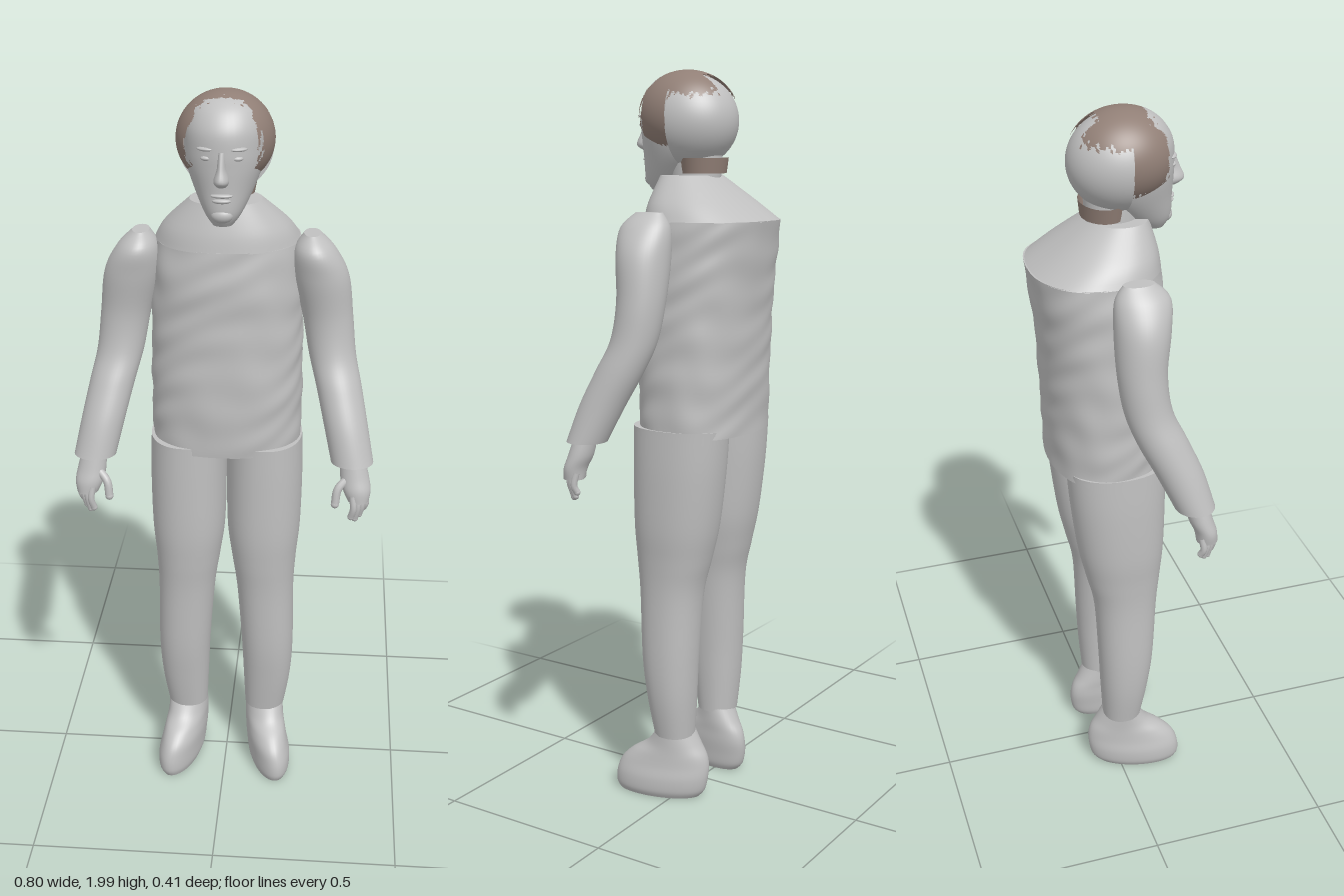
import * as THREE from 'three';

const grey = new THREE.MeshStandardMaterial({ color: 0xc0c0c0 });
grey.name = 'plain grey';
const brown = new THREE.MeshStandardMaterial({ color: 0x917f76, side: THREE.DoubleSide });
brown.name = 'hair brown';

function add(parent, name, geometry, material = grey) {
  const mesh = new THREE.Mesh(geometry, material);
  mesh.name = name;
  parent.add(mesh);
  return mesh;
}

// Catmull-Rom subdivision of section rows
function refine(rows, steps) {
  const out = [], last = rows.length - 1;
  for (let i = 0; i < last; i++) {
    const a = rows[Math.max(i - 1, 0)], b = rows[i], c = rows[i + 1], d = rows[Math.min(i + 2, last)];
    for (let k = 0; k < steps; k++) {
      const t = k / steps;
      out.push(b.map((_, j) => b[j] + 0.5 * t * (c[j] - a[j]
        + t * (2 * a[j] - 5 * b[j] + 4 * c[j] - d[j] + t * (3 * (b[j] - c[j]) + d[j] - a[j])))));
    }
  }
  out.push(rows[last]);
  return out;
}

// Closed loft through sections [y, centre x, half width, back z, front z], listed upward
function loft(rows, { steps = 6, sides = 40, power = 2, side = 1, shear = 0, wrinkle = 0, caps = true } = {}) {
  const rings = refine(rows, steps), pos = [], index = [];
  const pw = (v) => Math.sign(v) * Math.pow(Math.abs(v), 2 / power);
  rings.forEach(([y, cx, rx, zb, zf]) => {
    for (let i = 0; i < sides; i++) {
      const a = (i / sides) * Math.PI * 2;
      const w = 1 + wrinkle * Math.sin(y * 55 + 2 * Math.sin(a * 3 + y * 9)) * Math.sin(a * 4 + y * 17);
      const dz = pw(Math.sin(a)) * (zf - zb) / 2 * w;
      pos.push(side * (cx + shear * dz) + pw(Math.cos(a)) * rx * w, y, (zf + zb) / 2 + dz);
    }
  });
  const n = rings.length;
  for (let r = 0; r < n - 1; r++) for (let i = 0; i < sides; i++) {
    const p = r * sides + i, q = r * sides + (i + 1) % sides;
    index.push(p, p + sides, q, q, p + sides, q + sides);
  }
  // Caps have their own vertices so their rims stay sharp
  if (caps) [0, n - 1].forEach((r) => {
    const [y, cx, , zb, zf] = rings[r], start = pos.length / 3;
    pos.push(...pos.slice(r * sides * 3, (r + 1) * sides * 3), side * cx, y, (zb + zf) / 2);
    for (let i = 0; i < sides; i++) {
      const p = start + i, q = start + (i + 1) % sides;
      index.push(start + sides, ...(r ? [q, p] : [p, q]));
    }
  });
  const g = new THREE.BufferGeometry();
  g.setAttribute('position', new THREE.Float32BufferAttribute(pos, 3));
  g.setIndex(index);
  g.computeVertexNormals();
  return g;
}

function ellipsoid(parent, name, [x, y, z], [rx, ry, rz]) {
  const mesh = add(parent, name, new THREE.SphereGeometry(1, 20, 14));
  mesh.position.set(x, y, z);
  mesh.scale.set(rx, ry, rz);
  return mesh;
}

// Tapered-looking finger: a tube with a round tip
function finger(parent, name, points, r) {
  const pts = points.map((p) => new THREE.Vector3(...p));
  add(parent, name, new THREE.TubeGeometry(new THREE.CatmullRomCurve3(pts), 10, r, 10));
  ellipsoid(parent, name + 'Tip', points[points.length - 1], [r, r, r]);
}

// Hair: the part of a dome that lies inside a ragged hairline
function hairGeometry() {
  const g = new THREE.SphereGeometry(1, 128, 90);
  g.scale(0.123, 0.117, 0.138).translate(0, 1.885, 0.04);
  const p = g.attributes.position, old = g.index.array, keep = [];
  for (let i = 0; i < old.length; i += 3) {
    const mid = (f) => (p[f](old[i]) + p[f](old[i + 1]) + p[f](old[i + 2])) / 3;
    const x = mid('getX'), y = mid('getY'), z = mid('getZ'), ax = Math.abs(x);
    const jag = 0.006 * Math.sin(x * 310) + 0.006 * Math.sin(z * 420 + y * 130);
    const temples = ax > 0.07 && z > 0.033 && z < 0.128 + jag && y > 1.805 + jag;
    const crown = y > 1.935 + jag && z < 0.1 + jag && z > (ax > 0.03 ? -0.07 : -0.03) + jag;
    if (temples || crown) keep.push(old[i], old[i + 1], old[i + 2]);
  }
  g.setIndex(keep);
  return g;
}

function buildHead() {
  const head = new THREE.Group();
  head.name = 'head';
  add(head, 'face', loft([
    [1.69, 0, 0.025, 0.1, 0.15], [1.72, 0, 0.048, 0.05, 0.167], [1.78, 0, 0.078, -0.02, 0.168],
    [1.83, 0, 0.095, -0.04, 0.17], [1.87, 0, 0.1, -0.05, 0.171], [1.92, 0, 0.099, -0.05, 0.166],
    [1.96, 0, 0.084, -0.03, 0.143], [1.985, 0, 0.058, 0, 0.112], [1.997, 0, 0.015, 0.04, 0.08],
  ]));
  add(head, 'neck', loft([[1.66, 0, 0.06, -0.05, 0.085], [1.8, 0, 0.06, -0.06, 0.08]], { steps: 2 }));
  // Rear half of the skull with a flat front rim
  const skull = add(head, 'skull', new THREE.SphereGeometry(1, 40, 32, Math.PI, Math.PI));
  skull.position.set(0, 1.87, 0.035);
  skull.scale.set(0.12, 0.123, 0.135);
  const rim = add(head, 'skullRim', new THREE.CircleGeometry(1, 48));
  rim.position.copy(skull.position);
  rim.scale.set(0.12, 0.123, 1);
  // Features
  add(head, 'nose', loft([
    [1.795, 0, 0.013, 0.14, 0.183], [1.81, 0, 0.019, 0.14, 0.203], [1.84, 0, 0.011, 0.14, 0.191],
    [1.878, 0, 0.009, 0.14, 0.175],
  ], { sides: 20 }));
  ellipsoid(head, 'upperLip', [0, 1.771, 0.162], [0.028, 0.006, 0.013]);
  ellipsoid(head, 'lowerLip', [0, 1.758, 0.161], [0.024, 0.007, 0.013]);
  ellipsoid(head, 'chin', [0, 1.72, 0.152], [0.028, 0.02, 0.02]);
  for (const s of [-1, 1]) {
    ellipsoid(head, 'eye', [s * 0.036, 1.861, 0.155], [0.016, 0.007, 0.012]);
    const brow = ellipsoid(head, 'brow', [s * 0.038, 1.883, 0.153], [0.024, 0.006, 0.015]);
    brow.rotation.y = s * 0.3;
  }
  add(head, 'hair', hairGeometry(), brown);
  add(head, 'napeHair', loft([[1.735, 0, 0.07, -0.066, 0.045], [1.775, 0, 0.078, -0.07, 0.045]],
    { steps: 2, caps: false }), brown);
  return head;
}

function buildLimbs(s) {
  const limbs = new THREE.Group();
  limbs.name = s > 0 ? 'leftLimbs' : 'rightLimbs';
  add(limbs, 'sleeve', loft([
    [1.055, 0.342, 0.056, 0.08, 0.185], [1.15, 0.321, 0.058, 0.035, 0.158], [1.24, 0.3, 0.06, -0.01, 0.12],
    [1.32, 0.28, 0.062, -0.038, 0.085], [1.42, 0.265, 0.066, -0.052, 0.074], [1.53, 0.245, 0.072, -0.054, 0.088],
    [1.6, 0.228, 0.054, -0.048, 0.092], [1.64, 0.22, 0.022, -0.025, 0.055],
  ], { side: s }));
  add(limbs, 'trouserLeg', loft([
    [0.19, 0.114, 0.057, -0.042, 0.068], [0.3, 0.12, 0.068, -0.05, 0.085], [0.42, 0.12, 0.074, -0.056, 0.1],
    [0.6, 0.112, 0.08, -0.066, 0.11], [0.7, 0.107, 0.09, -0.088, 0.12], [0.8, 0.105, 0.101, -0.11, 0.128],
    [0.95, 0.105, 0.104, -0.13, 0.13], [1.07, 0.104, 0.102, -0.14, 0.13],
  ], { side: s, power: 2.2 }));
  add(limbs, 'shoe', loft([
    [0.01, 0.13, 0.05, -0.06, 0.172], [0.03, 0.13, 0.058, -0.076, 0.18], [0.065, 0.128, 0.06, -0.084, 0.178],
    [0.1, 0.122, 0.058, -0.085, 0.165], [0.13, 0.118, 0.056, -0.078, 0.135], [0.16, 0.114, 0.055, -0.06, 0.09],
    [0.2, 0.114, 0.054, -0.038, 0.06],
  ], { side: s, shear: 0.2 }));
  // Hand
  add(limbs, 'palm', loft([
    [0.955, 0.362, 0.028, 0.135, 0.19], [0.985, 0.357, 0.037, 0.13, 0.188], [1.02, 0.35, 0.038, 0.115, 0.178],
    [1.07, 0.343, 0.032, 0.105, 0.165],
  ], { side: s, sides: 24 }));
  for (let i = 0; i < 4; i++) {
    const x = 0.346 + i * 0.011, z = 0.186 - i * 0.013, drop = [0.01, 0, 0.006, 0.02][i];
    finger(limbs, 'finger', [[s * x, 0.975, z - 0.005], [s * (x + 0.004), 0.94, z], [s * (x - 0.002), 0.903 + drop, z - 0.005]], 0.009);
  }
  finger(limbs, 'thumb', [[s * 0.33, 1.015, 0.16], [s * 0.307, 0.99, 0.175], [s * 0.301, 0.95, 0.182]], 0.011);
  return limbs;
}

export function createModel() {
  const model = new THREE.Group();
  model.name = 'standingFigure';
  // Shirt body and sloping shoulders
  add(model, 'shirt', loft([
    [1.05, 0, 0.202, -0.165, 0.136], [1.2, 0, 0.202, -0.17, 0.142], [1.4, 0, 0.2, -0.18, 0.138],
    [1.53, 0, 0.196, -0.195, 0.138], [1.615, 0, 0.188, -0.206, 0.13],
  ], { steps: 14, sides: 72, power: 2.3, wrinkle: 0.012 }));
  add(model, 'shoulders', loft([[1.613, 0, 0.188, -0.206, 0.13], [1.66, 0, 0.16, -0.14, 0.122], [1.73, 0, 0.092, -0.046, 0.102]],
    { sides: 72, power: 2.3, steps: 5 }));
  model.add(buildHead());
  for (const s of [1, -1]) model.add(buildLimbs(s));
  return model;
}
